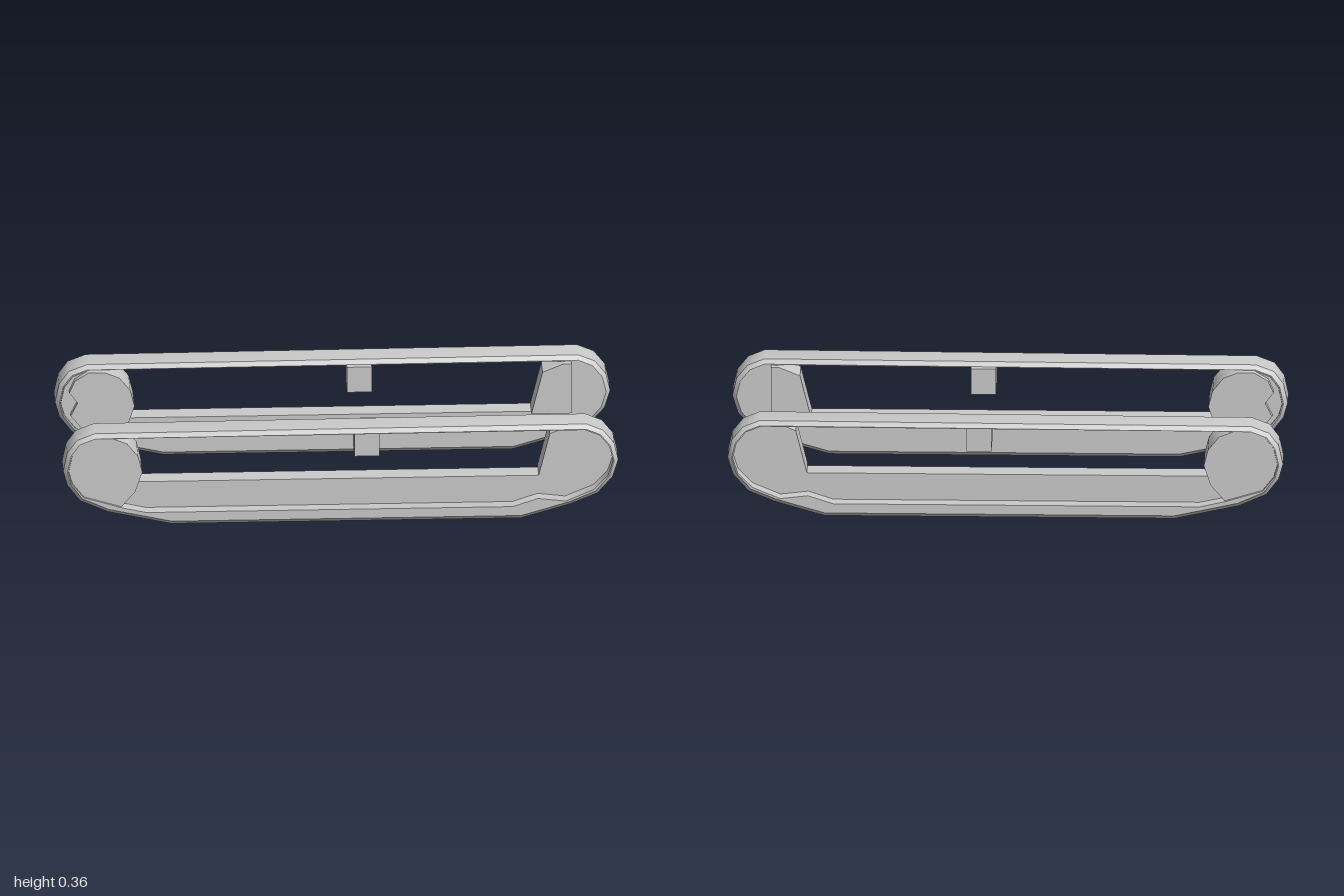
import * as THREE from 'three';
import { toCreasedNormals } from 'three/addons/utils/BufferGeometryUtils.js';

const material = new THREE.MeshStandardMaterial({ color: 0xcccccc });

// Belt side profile, counter-clockwise in x/y: [outer x, outer y, inner x, inner y]
const PROFILE = [
  [-0.61, 0.0, -0.70, 0.05], [0.65, 0.0, 0.62, 0.05], [0.745, 0.027, 0.71, 0.08],
  [0.83, 0.052, 0.81, 0.068], [0.925, 0.092, 0.91, 0.11], [0.98, 0.155, 0.963, 0.165],
  [1.0, 0.22, 0.981, 0.22], [0.985, 0.285, 0.967, 0.277], [0.945, 0.335, 0.933, 0.32],
  [0.885, 0.36, 0.88, 0.342], [-0.885, 0.353, -0.88, 0.337], [-0.95, 0.328, -0.938, 0.313],
  [-0.985, 0.28, -0.968, 0.272], [-1.0, 0.21, -0.981, 0.21], [-0.985, 0.155, -0.968, 0.164],
  [-0.94, 0.095, -0.927, 0.112], [-0.84, 0.05, -0.79, 0.07],
];
const INNER = PROFILE.map((p) => [p[2], p[3]]);
const Z_IN = 0.27, Z_OUT = 0.40, CHAMFER = 0.015;

// Offsets a closed counter-clockwise loop inwards
function inset(loop, d) {
  const n = loop.length;
  return loop.map(([x, y], i) => {
    const a = loop[(i + n - 1) % n], b = loop[(i + 1) % n];
    const tx = b[0] - a[0], ty = b[1] - a[1], len = Math.hypot(tx, ty);
    return [x - (ty / len) * d, y + (tx / len) * d];
  });
}

// Belt: closed rings at several depths joined into a chamfered band
function beltGeometry() {
  const outer = PROFILE.map((p) => [p[0], p[1]]);
  const edge = inset(outer, CHAMFER);
  const half = (Z_OUT - Z_IN) / 2;
  const rings = [
    [outer, -half + CHAMFER], [outer, half - CHAMFER], [edge, half],
    [INNER, half], [INNER, -half], [edge, -half],
  ];
  const n = outer.length, positions = [], index = [];
  for (const [loop, z] of rings) for (const [x, y] of loop) positions.push(x, y, z);
  for (let r = 0; r < rings.length; r++) {
    const r2 = (r + 1) % rings.length;
    for (let i = 0; i < n; i++) {
      const j = (i + 1) % n;
      const a = r * n + i, b = r * n + j, c = r2 * n + j, d = r2 * n + i;
      index.push(a, b, c, a, c, d);
    }
  }
  const g = new THREE.BufferGeometry();
  g.setAttribute('position', new THREE.Float32BufferAttribute(positions, 3));
  g.setIndex(index);
  return toCreasedNormals(g, 0.6);
}

// Flat x/y outline extruded between two distances from the centre line
function slab(name, points, near, far, side, crease = 0.1) {
  const shape = new THREE.Shape(points.map(([x, y]) => new THREE.Vector2(x, y)));
  const g = new THREE.ExtrudeGeometry(shape, { depth: far - near, bevelEnabled: false });
  g.translate(0, 0, side > 0 ? near : -far);
  const mesh = new THREE.Mesh(toCreasedNormals(g, crease), material);
  mesh.name = name;
  return mesh;
}

// Rear wheel outline, its left side fitted inside the belt
const WHEEL = [
  [-0.79, 0.072], [-0.74, 0.13], [-0.715, 0.205], [-0.73, 0.265], [-0.77, 0.315],
  [-0.82, 0.335], [-0.88, 0.336], [-0.937, 0.312], [-0.967, 0.271], [-0.98, 0.21],
  [-0.967, 0.165], [-0.926, 0.113],
];
const WHEEL_HUB = [
  [-0.80, 0.095], [-0.74, 0.13], [-0.715, 0.205], [-0.73, 0.265], [-0.77, 0.315],
  [-0.82, 0.335], [-0.88, 0.336], [-0.93, 0.305], [-0.95, 0.26], [-0.92, 0.22],
  [-0.945, 0.17], [-0.90, 0.115],
];

// Lower side panel that rises into the front wheel housing
const PANEL = [
  INNER[16], ...INNER.slice(0, 10),
  [0.83, 0.341], [0.755, 0.31], [0.715, 0.15], [-0.74, 0.15],
];
const HOUSING_RIB = [[0.715, 0.15], [0.86, 0.15], [0.86, 0.341], [0.83, 0.341], [0.755, 0.31]];
const ROLLER_BLOCK = [[0.05, 0.245], [0.14, 0.245], [0.14, 0.342], [0.05, 0.342]];

function createTrack(side) {
  const track = new THREE.Group();
  track.name = side > 0 ? 'frontTrack' : 'backTrack';
  const belt = new THREE.Mesh(beltGeometry(), material);
  belt.name = 'belt';
  belt.position.z = (side * (Z_IN + Z_OUT)) / 2;
  track.add(
    belt,
    slab('sidePanel', PANEL, Z_IN, 0.35, side),
    slab('wheel', WHEEL, Z_IN, 0.395, side, 0.65),
    slab('wheelHub', WHEEL_HUB, 0.245, Z_IN, side, 0.65),
    slab('housingRib', HOUSING_RIB, 0.245, Z_IN, side),
    slab('rollerBlock', ROLLER_BLOCK, 0.245, 0.375, side),
  );
  return track;
}

export function createModel() {
  const model = new THREE.Group();
  model.name = 'trackPair';
  for (const side of [1, -1]) model.add(createTrack(side));
  return model;
}
